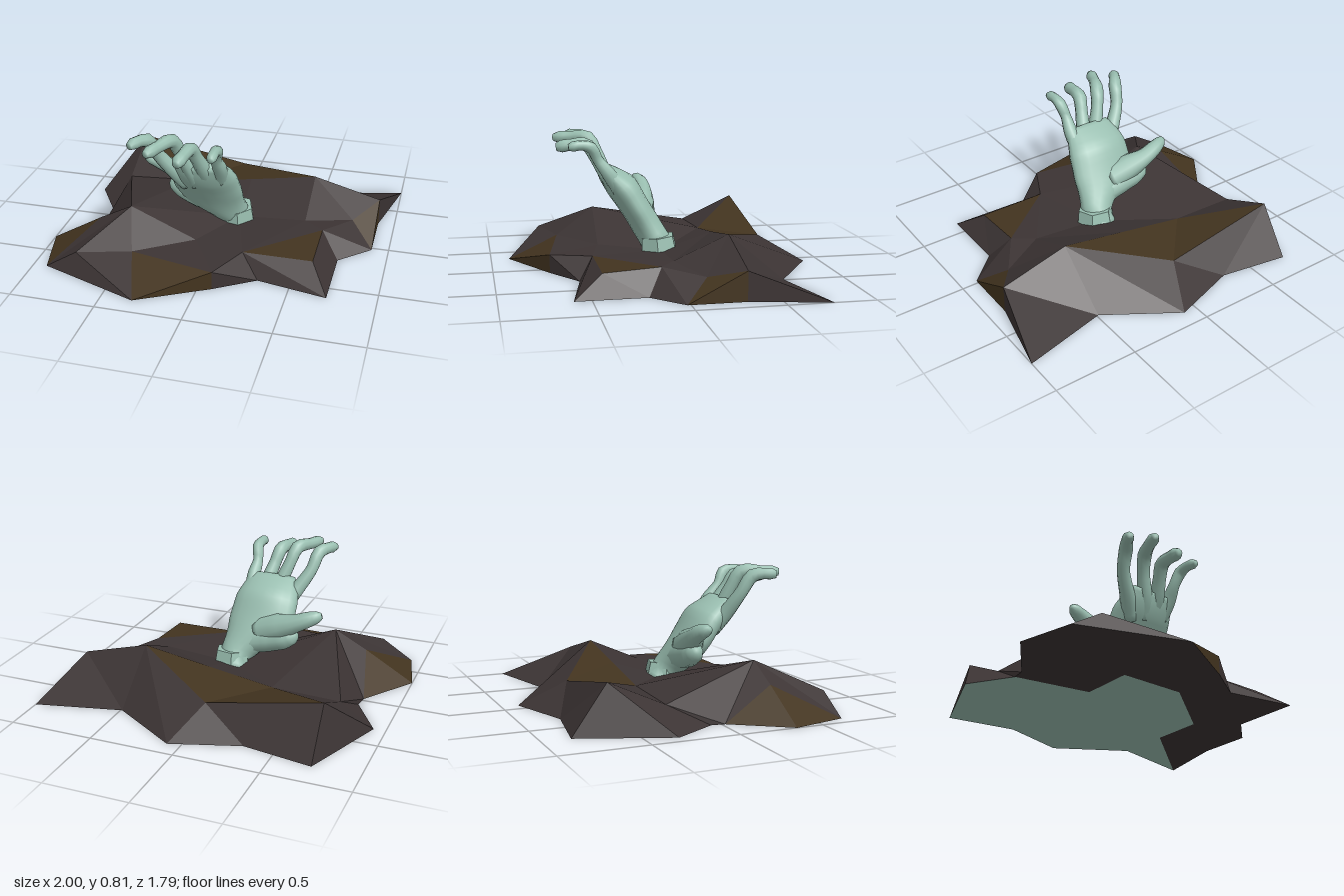
import * as THREE from 'three';

const V = (x, y, z) => new THREE.Vector3(x, y, z);
const soilMat = new THREE.MeshStandardMaterial({ color: 0x3c3434, flatShading: true, side: THREE.DoubleSide });
const clayMat = new THREE.MeshStandardMaterial({ color: 0x43341f, flatShading: true, side: THREE.DoubleSide });
const skinMat = new THREE.MeshStandardMaterial({ color: 0x9abfb1, side: THREE.DoubleSide });

// Ground outline at y = 0 as x, z pairs, clockwise from the back left corner
const rim = [
  [-0.73, -0.84], [-0.32, -0.77], [0.08, -0.9], [0.49, -0.64], [1, -0.76], [0.9, -0.31],
  [0.9, 0.02], [0.72, 0.19], [0.72, 0.6], [0.31, 0.52], [0.08, 0.67], [-0.32, 0.89],
  [-0.92, 0.67], [-1, 0.34], [-0.78, 0.02], [-0.77, -0.06], [-0.93, -0.32],
];

// Raised points of the mound, numbered on from the rim (17 ...)
const peaks = [
  [-0.73, 0.28, -0.64], [-0.04, 0.15, -0.64], [-0.32, 0.15, -0.32], [0.49, 0.28, -0.31],
  [0.9, 0.17, -0.31], [-0.73, 0.13, -0.31], [0.49, 0.14, 0.01], [-0.5, 0.28, 0.34],
  [-0.73, 0.12, 0.67], [-0.42, 0.12, 0.58], [0.2, 0.12, 0.43], [0.61, 0.12, 0.43],
  [0.61, 0.14, 0.1], [0.76, 0.11, -0.12], [-0.1, 0.12, 0.36], [0.08, 0.11, 0], [0.08, 0.11, 0.67],
  [-0.7, 0.175, 0.34], [0.08, 0.21, -0.31],
];

// Facets of the two soil colours, each a fan of point numbers
const soilFacets = [
  [0, 1, 17], [1, 18, 17], [1, 2, 18], [2, 3, 20, 18], [3, 4, 21, 20], [4, 5, 21],
  [6, 7, 29, 30], [7, 8, 28, 29], [8, 9, 27, 28], [9, 33, 27], [9, 10, 33],
  [11, 26, 25, 12], [12, 25, 24], [25, 26, 24], [24, 26, 31], [26, 33, 31], [33, 27, 31],
  [14, 24, 22], [14, 34, 24], [34, 12, 24], [15, 14, 22], [16, 15, 22], [16, 22, 17],
  [0, 17, 16], [22, 17, 19], [22, 19, 24], [19, 32, 24], [24, 31, 32], [31, 27, 32],
  [27, 29, 23], [27, 23, 32], [32, 23, 35], [23, 20, 35], [32, 35, 19],
  [23, 29, 30], [23, 30, 20], [20, 30, 21],
];
const clayFacets = [
  [17, 18, 19], [18, 20, 35, 19], [5, 6, 21], [6, 30, 21], [29, 28, 27],
  [10, 11, 33], [11, 33, 26], [12, 13, 34], [13, 14, 34],
];

function facets(name, list, mat) {
  const pts = [...rim.map(([x, z]) => V(x, 0, z)), ...peaks.map((p) => V(...p))];
  const out = [];
  for (const f of list) {
    for (let i = 1; i < f.length - 1; i++) {
      let [a, b, c] = [pts[f[0]], pts[f[i]], pts[f[i + 1]]];
      // turn every facet to face upwards
      const n = b.clone().sub(a).cross(c.clone().sub(a));
      if (n.y < 0) [b, c] = [c, b];
      out.push(a, b, c);
    }
  }
  const geo = new THREE.BufferGeometry().setFromPoints(out);
  geo.computeVertexNormals();
  const mesh = new THREE.Mesh(geo, mat);
  mesh.name = name;
  return mesh;
}

// Flat underside piece from x, z pairs, facing down
function underside(name, outline, mat) {
  const shape = new THREE.Shape(outline.map(([x, z]) => new THREE.Vector2(x, z)));
  const mesh = new THREE.Mesh(new THREE.ShapeGeometry(shape).rotateX(Math.PI / 2), mat);
  mesh.name = name;
  return mesh;
}

// Closed skin over oval rings { c: centre, u, v: half axes }
function loft(name, rings, sides) {
  const pos = [], idx = [];
  for (const { c, u, v } of rings) {
    for (let s = 0; s < sides; s++) {
      const a = (s / sides) * Math.PI * 2;
      pos.push(...c.clone().addScaledVector(u, Math.cos(a)).addScaledVector(v, Math.sin(a)).toArray());
    }
  }
  const last = (rings.length - 1) * sides, end = rings.length * sides;
  pos.push(...rings[0].c.toArray(), ...rings[rings.length - 1].c.toArray());
  for (let s = 0; s < sides; s++) {
    const t = (s + 1) % sides;
    for (let r = 0; r < last; r += sides) idx.push(r + s, r + t, r + sides + s, r + t, r + sides + t, r + sides + s);
    idx.push(end, t, s, end + 1, last + s, last + t);
  }
  const geo = new THREE.BufferGeometry();
  geo.setAttribute('position', new THREE.Float32BufferAttribute(pos, 3));
  geo.setIndex(idx);
  geo.computeVertexNormals();
  const mesh = new THREE.Mesh(geo, skinMat);
  mesh.name = name;
  return mesh;
}

// Round limb through points [x, y, z, radius] with a rounded tip
function limb(name, points, steps = 16) {
  const curve = new THREE.CatmullRomCurve3(points.map((p) => V(p[0], p[1], p[2])), false, 'centripetal');
  const frames = curve.computeFrenetFrames(steps);
  const rings = [];
  for (let i = 0; i <= steps; i++) {
    const t = curve.getUtoTmapping(i / steps) * (points.length - 1);
    const k = Math.min(Math.floor(t), points.length - 2);
    let r = THREE.MathUtils.lerp(points[k][3], points[k + 1][3], t - k);
    if (i === steps) r *= 0.6;
    rings.push({
      c: curve.getPointAt(i / steps),
      u: frames.normals[i].clone().multiplyScalar(r),
      v: frames.binormals[i].clone().multiplyScalar(r),
    });
  }
  return loft(name, rings, 10);
}

// Palm rings: centre x, y, z, half width, half thickness
function palm() {
  const keys = [
    [0.05, 0.06, -0.04, 0.11, 0.09], [0.03, 0.17, 0.03, 0.11, 0.09], [-0.05, 0.27, 0.085, 0.175, 0.09],
    [-0.08, 0.365, 0.14, 0.205, 0.09], [-0.09, 0.47, 0.205, 0.2, 0.095],
    [-0.095, 0.54, 0.27, 0.175, 0.07], [-0.09, 0.595, 0.32, 0.145, 0.035],
  ];
  const centres = new THREE.CatmullRomCurve3(keys.map((k) => V(k[0], k[1], k[2])));
  const sizes = new THREE.CatmullRomCurve3(keys.map((k) => V(k[3], k[4], 0)));
  const rings = [];
  for (let i = 0; i <= 18; i++) {
    const s = sizes.getPoint(i / 18);
    rings.push({ c: centres.getPoint(i / 18), u: V(s.x, 0, 0), v: V(0, 0.6, -0.8).multiplyScalar(s.y) });
  }
  return loft('palm', rings, 20);
}

export function createModel() {
  const model = new THREE.Group();

  // Mound of earth
  const mound = new THREE.Group();
  mound.name = 'mound';
  const inner = [[-0.32, 0.02], [-0.32, 0.34], [0.08, 0.34], [0.49, 0.01], [0.49, -0.31]];
  mound.add(
    facets('soil', soilFacets, soilMat),
    facets('claySoil', clayFacets, clayMat),
    underside('soilUnderside', [...rim.slice(4, 16), ...inner], soilMat),
    underside('paleUnderside', [...rim.slice(0, 5), ...inner.slice().reverse(), ...rim.slice(15)], skinMat),
  );

  // Hand reaching up and forward
  const hand = new THREE.Group();
  hand.name = 'hand';
  hand.add(palm());

  // Angular wrist stump
  const stumpMat = skinMat.clone();
  stumpMat.flatShading = true;
  const stump = new THREE.Mesh(new THREE.CylinderGeometry(0.105, 0.125, 0.14, 6), stumpMat);
  stump.name = 'wrist';
  stump.position.set(0.06, 0.125, 0.01);
  stump.rotation.set(0.1, 0.3, 0);
  hand.add(stump);

  // Digits, each swelling at the joints
  const digits = {
    indexFinger: [[-0.19, 0.42, 0.22, 0.05], [-0.25, 0.52, 0.28, 0.046], [-0.33, 0.65, 0.34, 0.037],
      [-0.36, 0.75, 0.4, 0.041], [-0.4, 0.765, 0.46, 0.033], [-0.43, 0.76, 0.52, 0.037]],
    middleFinger: [[-0.12, 0.44, 0.24, 0.05], [-0.14, 0.54, 0.3, 0.046], [-0.19, 0.68, 0.35, 0.037],
      [-0.22, 0.765, 0.4, 0.042], [-0.27, 0.765, 0.5, 0.034], [-0.31, 0.76, 0.6, 0.037]],
    ringFinger: [[-0.05, 0.46, 0.24, 0.05], [-0.06, 0.56, 0.31, 0.046], [-0.085, 0.66, 0.37, 0.038],
      [-0.105, 0.735, 0.42, 0.042], [-0.12, 0.735, 0.51, 0.036], [-0.135, 0.72, 0.6, 0.04]],
    littleFinger: [[0.02, 0.48, 0.24, 0.05], [0.035, 0.58, 0.31, 0.043], [0.03, 0.66, 0.37, 0.032],
      [0.045, 0.735, 0.41, 0.036], [0.045, 0.75, 0.47, 0.029], [0.045, 0.74, 0.545, 0.032]],
    thumb: [[-0.1, 0.31, 0.1, 0.095], [-0.23, 0.365, 0.065, 0.08], [-0.33, 0.41, 0.04, 0.055],
      [-0.42, 0.45, 0.045, 0.046], [-0.49, 0.475, 0.065, 0.03]],
    thumbHeel: [[0, 0.24, 0.07, 0.085], [-0.15, 0.275, 0.075, 0.085], [-0.26, 0.3, 0.06, 0.07],
      [-0.34, 0.33, 0.05, 0.04]],
  };
  for (const [name, points] of Object.entries(digits)) hand.add(limb(name, points));

  model.add(mound, hand);
  return model;
}
